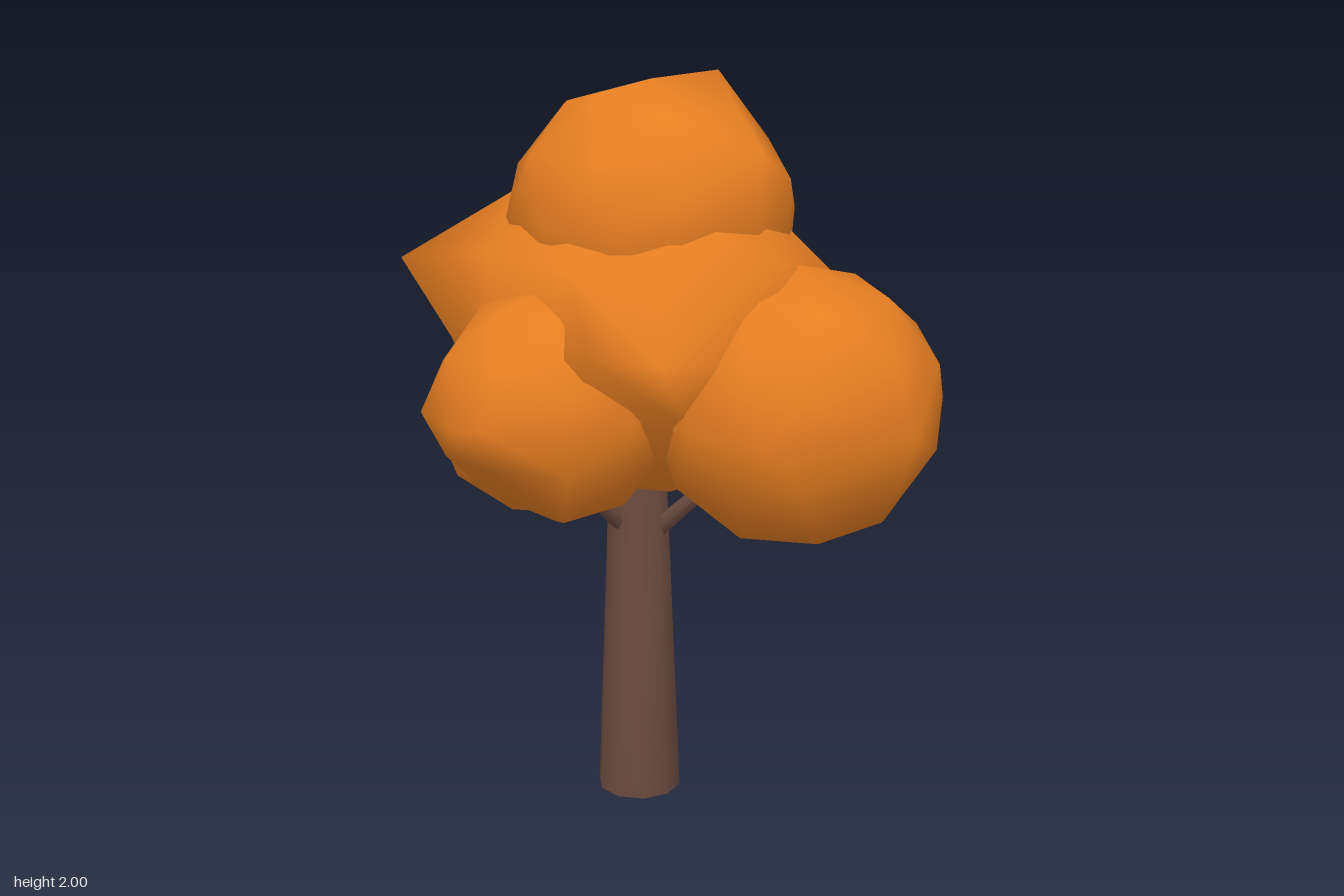
import * as THREE from 'three';
import { mergeVertices } from 'three/addons/utils/BufferGeometryUtils.js';

const leaves = new THREE.MeshStandardMaterial({ color: 0xe67e22 });
leaves.name = 'orange leaves';
const bark = new THREE.MeshStandardMaterial({ color: 0x6d4c41 });
bark.name = 'brown bark';

// share vertices so that the whole surface shades smoothly
function welded(geometry) {
  geometry.deleteAttribute('normal');
  geometry.deleteAttribute('uv');
  return mergeVertices(geometry, 1e-4);
}

// coarse ball whose nearest vertices are pulled out or in to a few corners;
// a null coordinate is left as it is, and mirrored vertices then move together
function leafClump(name, center, radii, corners) {
  const geo = welded(new THREE.IcosahedronGeometry(1, 1));
  geo.scale(...radii).translate(...center);
  const pos = geo.attributes.position;
  const base = Array.from({ length: pos.count }, (_, i) => new THREE.Vector3().fromBufferAttribute(pos, i).toArray());
  for (const corner of corners) {
    const gaps = base.map((p) =>
      Math.hypot(...corner.map((c, k) => (c === null ? 0 : (c - p[k]) / radii[k]))));
    const nearest = Math.min(...gaps);
    gaps.forEach((gap, i) => {
      if (gap > nearest + 1e-4) return;
      corner.forEach((c, k) => {
        if (c !== null) pos.setComponent(i, k, c);
      });
    });
  }
  geo.computeVertexNormals();
  const mesh = new THREE.Mesh(geo, leaves);
  mesh.name = name;
  return mesh;
}

// tapered round limb between two points
function limb(name, from, to, r0, r1, sides) {
  const a = new THREE.Vector3(...from);
  const b = new THREE.Vector3(...to);
  const dir = b.clone().sub(a);
  const geo = welded(new THREE.CylinderGeometry(r1, r0, dir.length(), sides));
  geo.computeVertexNormals();
  const mesh = new THREE.Mesh(geo, bark);
  mesh.position.copy(a).add(b).multiplyScalar(0.5);
  mesh.quaternion.setFromUnitVectors(new THREE.Vector3(0, 1, 0), dir.normalize());
  mesh.name = name;
  return mesh;
}

export function createModel() {
  const tree = new THREE.Group();
  tree.name = 'autumnTree';

  // trunk and side branches
  tree.add(
    limb('trunk', [-0.03, 0, -0.117], [-0.03, 1.2, -0.117], 0.117, 0.07, 10),
    limb('frontBranch', [-0.01, 0.76, -0.08], [0.07, 1.0, 0.16], 0.028, 0.018, 6),
    limb('rightBranch', [-0.07, 0.78, -0.12], [-0.3, 1.0, -0.09], 0.028, 0.018, 6),
    limb('leftBranch', [0.0, 0.88, -0.14], [0.25, 1.15, -0.24], 0.028, 0.018, 6),
    limb('backBranch', [-0.03, 0.82, -0.15], [-0.04, 1.0, -0.36], 0.028, 0.018, 6)
  );

  // leaf clumps: centre, radii, and the corners that stand out
  tree.add(
    leafClump('middleLeaves', [0, 1.34, -0.13], [0.49, 0.46, 0.55], [
      [-0.03, 1.61, 0.4], [-0.03, 1.61, -0.65], [-0.41, 1.5, -0.65], [0.29, 1.45, -0.66],
      [-0.48, 1.35, -0.34], [-0.49, 1.4, 0.22], [-0.4, 1.4, 0.38], [0.37, 1.45, 0.28], [0.51, 1.55, -0.12]
    ]),
    leafClump('topLeaves', [0.01, 1.65, -0.1], [0.38, 0.35, 0.4], [
      [-0.16, 1.98, -0.1], [0.25, 2, -0.1], [0.01, 1.86, 0.31], [0.02, 1.89, -0.47]
    ]),
    leafClump('frontLeaves', [0.1, 1.2, 0.36], [0.39, 0.37, 0.39], [
      [0.1, 1.2, 0.77], [-0.15, null, 0.62], [0.35, null, 0.62], [0.48, 0.99, null]
    ]),
    leafClump('rightLeaves', [-0.36, 1.2, -0.07], [0.33, 0.32, 0.31], [
      [-0.71, 1.23, -0.17], [-0.71, 1.23, 0.07], [-0.64, 1.1, null], [-0.52, 0.99, -0.07]
    ]),
    leafClump('leftLeaves', [0.34, 1.32, -0.3], [0.35, 0.34, 0.37], [
      [0.66, 1.3, -0.37], [0.71, 1.32, -0.11], [0.57, 1.3, -0.48], [0.4, 1.65, -0.28], [0.49, null, 0.04]
    ]),
    leafClump('backLeaves', [-0.03, 1.03, -0.42], [0.38, 0.28, 0.34], [
      [0.19, 1.09, -0.77], [-0.33, 1.03, -0.64], [0.13, 0.79, -0.42]
    ])
  );
  return tree;
}
